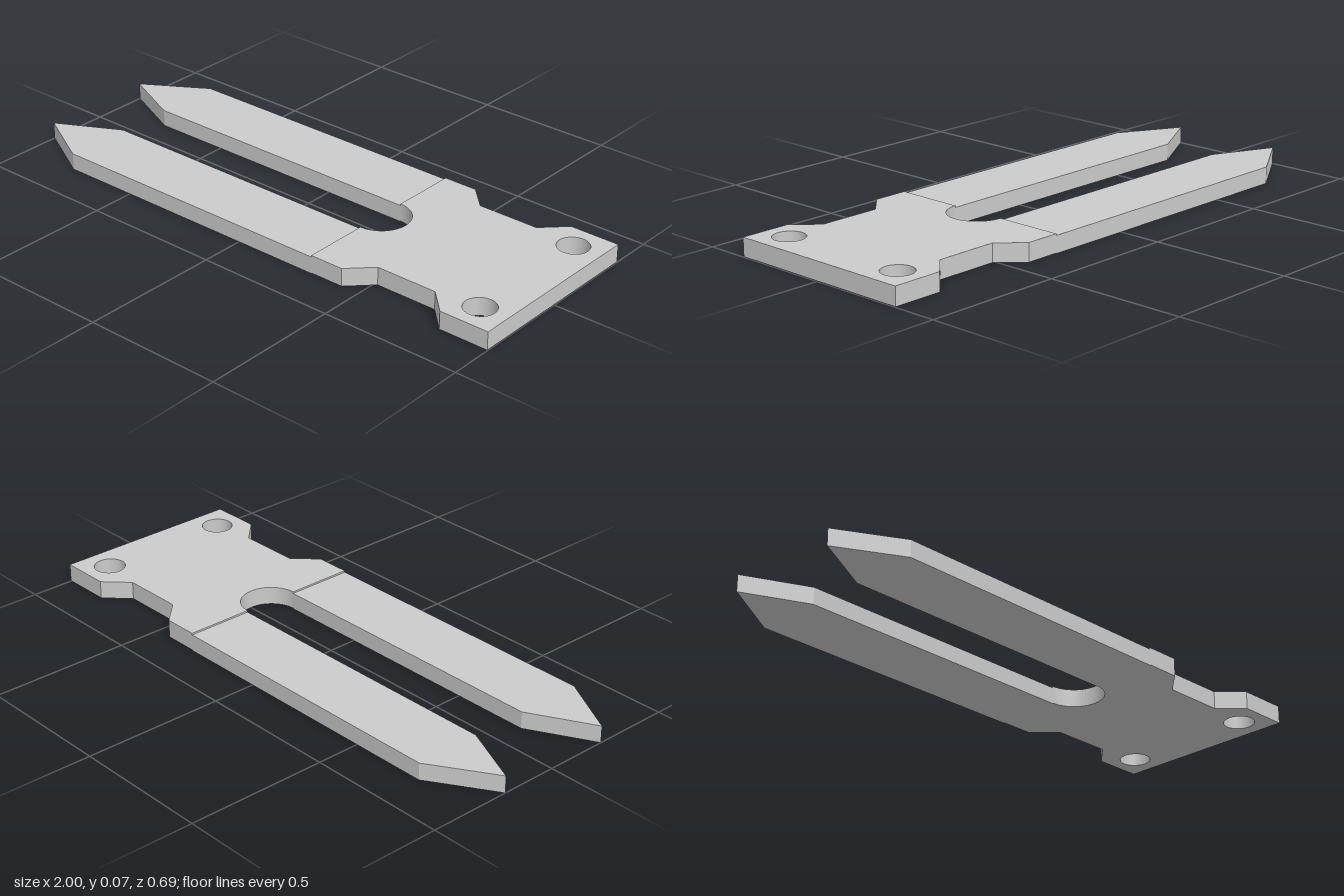
import * as THREE from 'three';

const HALF = 0.345; // half width
const SLOT = 0.103; // half width of the slot
const STEP = 0.31;  // where the prongs meet the plate

const material = new THREE.MeshStandardMaterial({ color: 0xcccccc });

// Extrudes a plan drawn in (x, -z) upward from y = bottom to y = top
function slab(name, shape, bottom, top) {
  const geometry = new THREE.ExtrudeGeometry(shape, {
    depth: top - bottom, bevelEnabled: false, curveSegments: 24,
  });
  geometry.rotateX(-Math.PI / 2);
  geometry.translate(0, bottom, 0);
  const mesh = new THREE.Mesh(geometry, material);
  mesh.name = name;
  return mesh;
}

function plan(points) {
  return new THREE.Shape(points.map(([x, y]) => new THREE.Vector2(x, y)));
}

export function createModel() {
  const group = new THREE.Group();
  group.name = 'forkedPlate';

  // Mounting plate: notched sides, rounded slot end, two screw holes
  const side = [[1, HALF], [0.82, HALF], [0.74, 0.265], [0.515, 0.265], [0.435, HALF], [STEP, HALF], [STEP, SLOT]];
  const plate = plan(side);
  plate.absarc(STEP, 0, SLOT, Math.PI / 2, -Math.PI / 2, true);
  for (const [x, y] of [...side].reverse()) plate.lineTo(x, -y);
  for (const s of [-1, 1]) {
    const hole = new THREE.Path();
    hole.absarc(0.897, s * 0.246, 0.055, 0, Math.PI * 2, false);
    plate.holes.push(hole);
  }
  group.add(slab('plate', plate, 0.002, 0.066));

  // Pointed prongs, slightly thinner than the plate
  for (const [name, s, tip] of [['frontProng', -1, 0.224], ['backProng', 1, 0.204]]) {
    const prong = plan([[STEP, SLOT], [STEP, HALF], [-0.775, HALF], [-1, tip], [-0.775, SLOT]]
      .map(([x, y]) => [x, s * y]));
    group.add(slab(name, prong, 0, 0.06));
  }
  return group;
}
